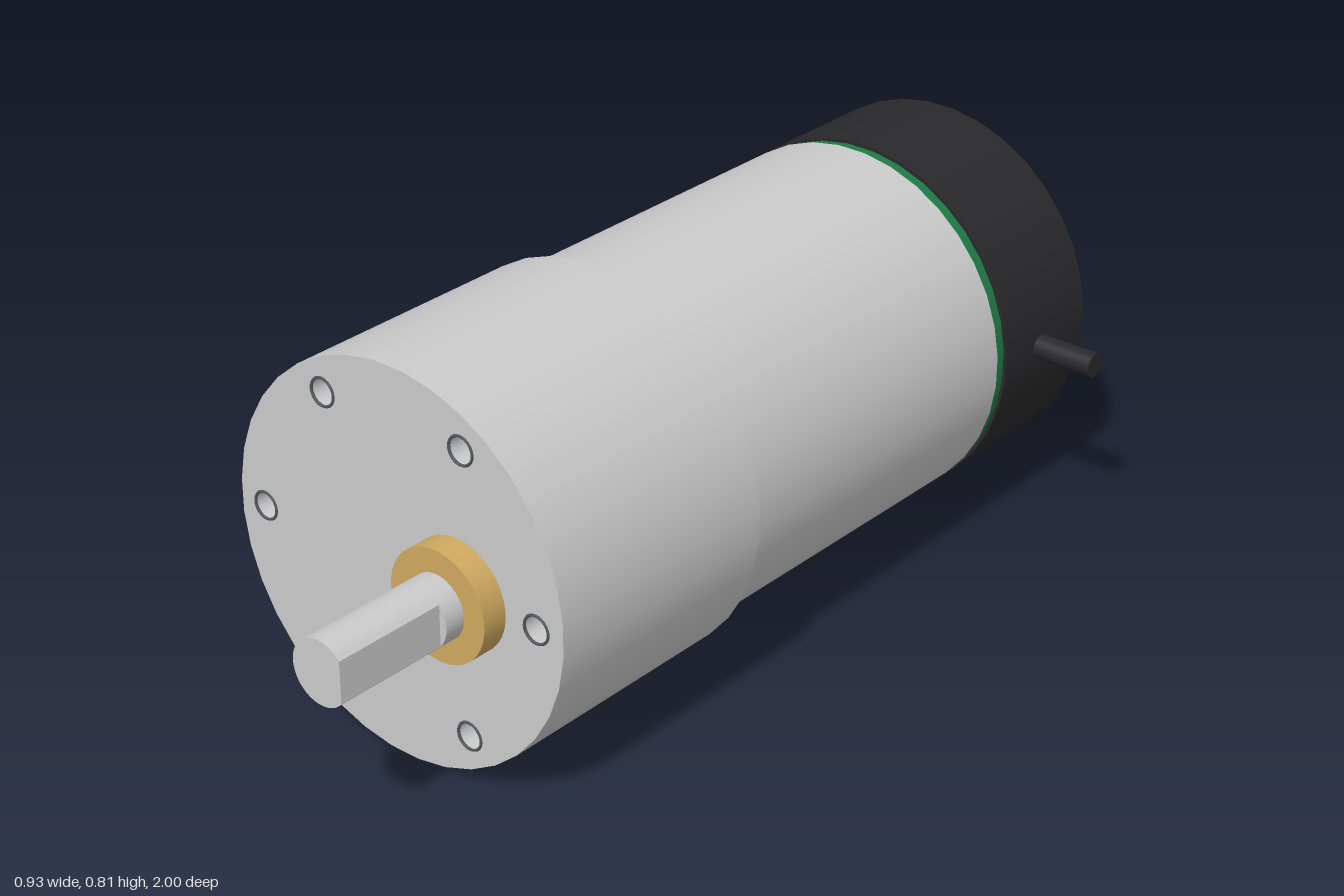
import * as THREE from 'three';
import { toCreasedNormals } from 'three/addons/utils/BufferGeometryUtils.js';

const CX = -0.057, CY = 0.409, SHAFT_X = 0.098;
const SEGMENTS = 36;

const material = (color, side = THREE.FrontSide) => new THREE.MeshStandardMaterial({ color, side });
const metal = material(0xcccccc);
const inner = material(0xcccccc, THREE.BackSide);
const brass = material(0xd0aa60);
const black = material(0x29292b);
const green = material(0x1f7a45);
const dark = material(0x55585c);

export function createModel() {
  const model = new THREE.Group();

  const add = (name, geometry, mat, parent = model) => {
    const mesh = new THREE.Mesh(geometry, mat);
    mesh.name = name;
    parent.add(mesh);
    return mesh;
  };

  // Cylinder along z between two depths
  const drum = (name, r, z0, z1, mat, { x = CX, open = false, parent = model } = {}) => {
    const g = new THREE.CylinderGeometry(r, r, z1 - z0, SEGMENTS, 1, open);
    g.rotateY(Math.PI / SEGMENTS).rotateX(Math.PI / 2).translate(x, CY, (z0 + z1) / 2);
    return add(name, g, mat, parent);
  };

  // Motor can, seal and rear cap
  drum('motorCan', 0.386, -0.69, 0.12, metal);
  drum('sealRing', 0.38, -0.725, -0.685, green);
  drum('rearCap', 0.387, -1, -0.72, black);

  // Gearbox housing: wall, rear step and drilled front plate
  const gearbox = new THREE.Group();
  gearbox.name = 'gearbox';
  model.add(gearbox);
  const front = 0.655, back = 0.108, R = 0.408, holeR = 0.03, holeDepth = 0.12;
  drum('gearboxWall', R, back, front, metal, { open: true, parent: gearbox });
  const step = new THREE.RingGeometry(0.36, R, SEGMENTS).rotateZ(Math.PI / SEGMENTS);
  step.rotateY(Math.PI).translate(CX, CY, back);
  add('gearboxRearStep', step, metal, gearbox);

  const plate = new THREE.Shape();
  for (let i = 0; i < SEGMENTS; i++) {
    const a = (i + 0.5) * 2 * Math.PI / SEGMENTS;
    plate[i ? 'lineTo' : 'moveTo'](R * Math.cos(a), R * Math.sin(a));
  }
  plate.closePath();

  // Six mounting holes on one bolt circle, each with a thin dark rim
  for (let i = 0; i < 6; i++) {
    const a = i * Math.PI / 3;
    const hx = 0.343 * Math.cos(a), hy = 0.343 * Math.sin(a);
    plate.holes.push(new THREE.Path().absarc(hx, hy, holeR, 0, 2 * Math.PI, true));
    const hole = new THREE.Group();
    hole.name = 'mountingHole';
    hole.position.set(CX + hx, CY + hy, front);
    gearbox.add(hole);
    const bore = new THREE.CylinderGeometry(holeR, holeR, holeDepth, 24, 1, true);
    add('holeWall', bore.rotateX(Math.PI / 2).translate(0, 0, -holeDepth / 2), inner, hole);
    add('holeFloor', new THREE.CircleGeometry(holeR, 24).translate(0, 0, -holeDepth), metal, hole);
    add('holeRim', new THREE.TorusGeometry(0.0285, 0.003, 6, 24), dark, hole);
  }
  add('gearboxFrontPlate', new THREE.ShapeGeometry(plate, 12).translate(CX, CY, front), metal, gearbox);

  // Offset brass bushing and output shaft with a flat on its +x side
  drum('bushing', 0.115, 0.65, 0.71, brass, { x: SHAFT_X });
  const shaftR = 0.066, flatStart = 0.755;
  drum('shaftBase', shaftR, 0.7, flatStart, metal, { x: SHAFT_X });
  const half = Math.acos(0.05 / shaftR);
  const dShape = new THREE.Shape();
  dShape.absarc(0, 0, shaftR, half, 2 * Math.PI - half, false);
  dShape.closePath();
  const tip = new THREE.ExtrudeGeometry(dShape, {
    depth: 1 - flatStart, bevelEnabled: false, curveSegments: 32,
  });
  tip.translate(SHAFT_X, CY, flatStart);
  add('shaftTip', toCreasedNormals(tip, 0.5), metal);

  // Cable leaving the rear cap sideways
  const cable = new THREE.CylinderGeometry(0.026, 0.026, 0.18, 24);
  add('cable', cable.rotateZ(Math.PI / 2).translate(0.373, CY, -0.845), black);

  return model;
}
